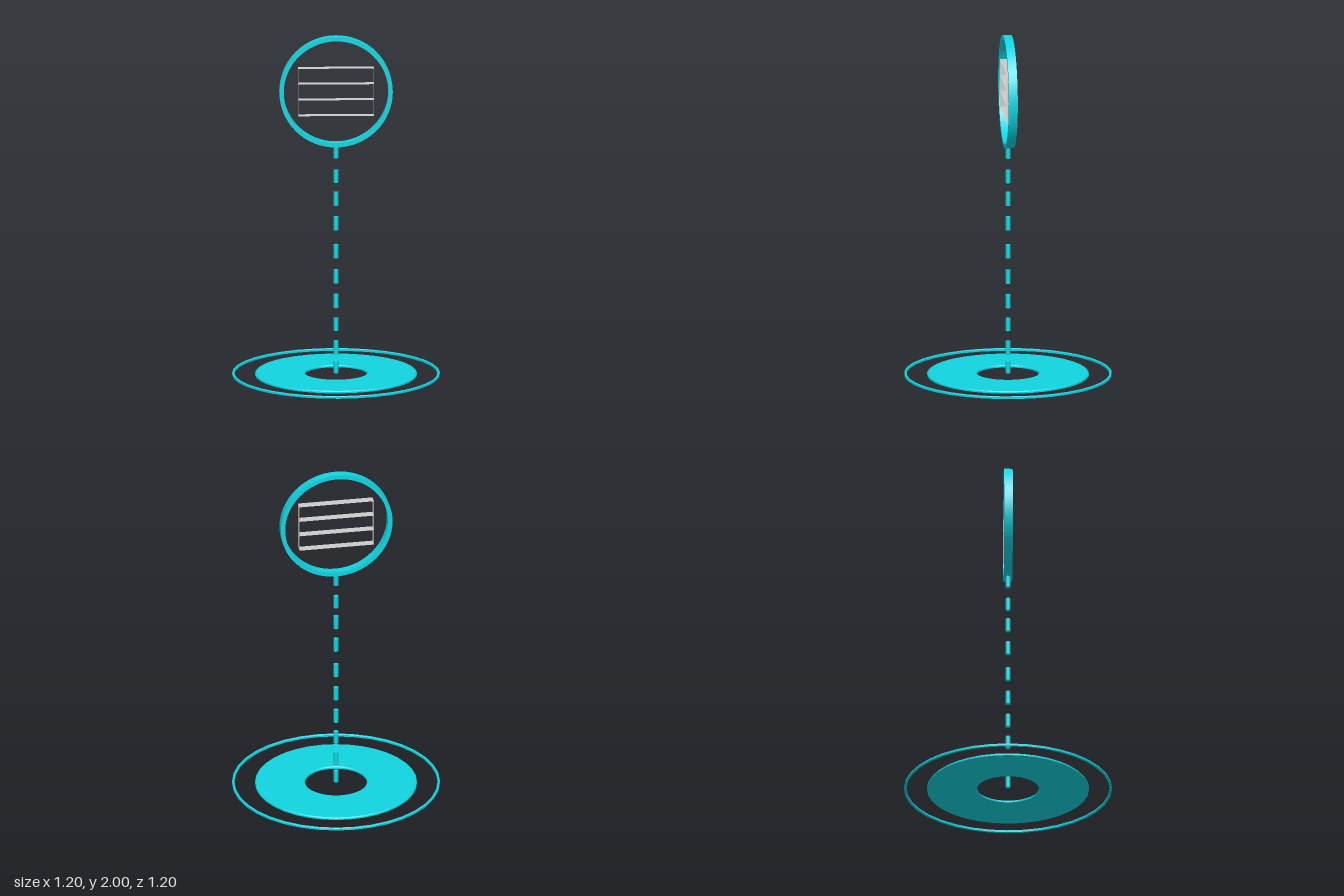
import * as THREE from 'three';
import { toCreasedNormals } from 'three/addons/utils/BufferGeometryUtils.js';

const cyan = new THREE.MeshStandardMaterial({ color: 0x10d4e0 });
const grey = new THREE.MeshStandardMaterial({ color: 0xcccccc, side: THREE.DoubleSide });

function add(parent, name, geometry, material, x = 0, y = 0, z = 0) {
  const mesh = new THREE.Mesh(geometry, material);
  mesh.name = name;
  mesh.position.set(x, y, z);
  parent.add(mesh);
  return mesh;
}

// Flat annulus with slightly bevelled top edges
function annulus(inner, outer, height, bevel, segments) {
  const profile = [
    [inner, 0], [outer, 0], [outer, height - bevel], [outer - bevel, height],
    [inner + bevel, height], [inner, height - bevel], [inner, 0],
  ].map(([r, y]) => new THREE.Vector2(r, y));
  return toCreasedNormals(new THREE.LatheGeometry(profile, segments), 0.5);
}

// Upright ring with square edges, centred on its own axis
function band(inner, outer, depth, segments) {
  const h = depth / 2;
  const profile = [[inner, -h], [outer, -h], [outer, h], [inner, h], [inner, -h]]
    .map(([r, y]) => new THREE.Vector2(r, y));
  return toCreasedNormals(new THREE.LatheGeometry(profile, segments), 0.5)
    .rotateX(Math.PI / 2);
}

export function createModel() {
  const model = new THREE.Group();
  model.name = 'waypointMarker';

  // Ground rings
  add(model, 'groundDisc', annulus(0.178, 0.466, 0.014, 0.006, 36), cyan);
  add(model, 'groundOuterRing', annulus(0.584, 0.598, 0.014, 0.003, 36), cyan);

  // Dashed pole: bottom and top of each dash
  const pole = new THREE.Group();
  pole.name = 'dashedPole';
  model.add(pole);
  const dashes = [
    [0.01, 0.08], [0.12, 0.2], [0.26, 0.335], [0.395, 0.475], [0.54, 0.62],
    [0.69, 0.77], [0.855, 0.935], [1.0, 1.08], [1.135, 1.21], [1.28, 1.355],
  ];
  for (const [low, high] of dashes) {
    add(pole, 'dash', new THREE.CylinderGeometry(0.014, 0.014, high - low, 12), cyan,
      0, (low + high) / 2);
  }

  // Sign at the top
  const sign = new THREE.Group();
  sign.name = 'sign';
  sign.position.y = 1.674;
  model.add(sign);
  add(sign, 'signRing', band(0.301, 0.326, 0.05, 64), cyan);

  // Thin open rack inside the ring: four shelves and two side walls
  const width = 0.435, height = 0.28, depth = 0.05;
  for (let i = 0; i < 4; i++) {
    const shelf = new THREE.PlaneGeometry(width, depth).rotateX(-Math.PI / 2);
    add(sign, 'shelf', shelf, grey, 0, height * (i / 3 - 0.5));
  }
  for (const side of [-1, 1]) {
    const wall = new THREE.PlaneGeometry(depth, height).rotateY(side * Math.PI / 2);
    add(sign, 'sideWall', wall, grey, side * width / 2);
  }

  return model;
}
